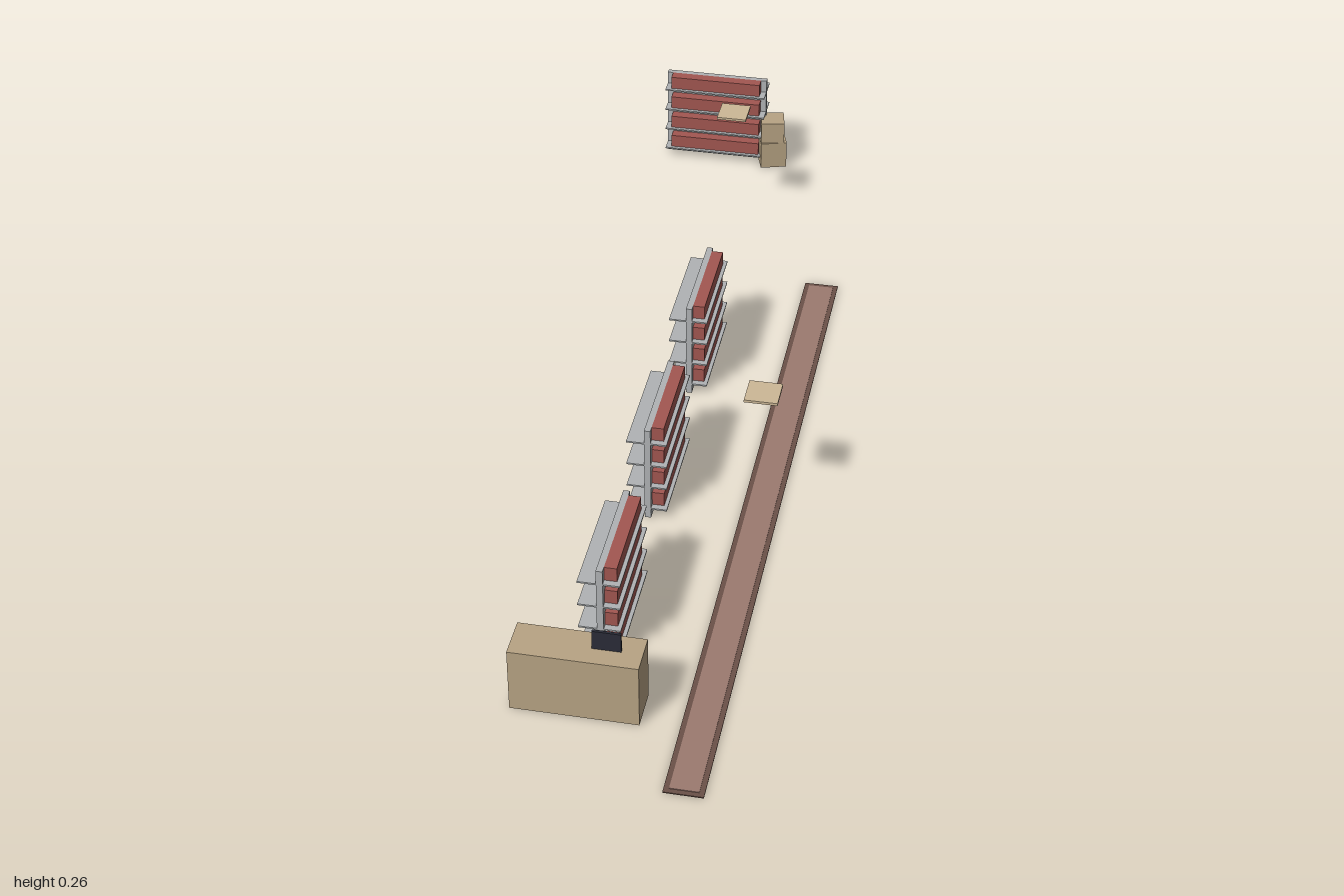
import * as THREE from 'three';

const mat = (name, color) => {
  const m = new THREE.MeshStandardMaterial({ color });
  m.name = name;
  return m;
};

export function createModel() {
  const model = new THREE.Group();
  model.name = 'libraryFurniture';

  const metal = mat('grey metal', 0xb0b3b5);
  const red = mat('book red', 0xa25751);
  const wood = mat('desk tan', 0xb8a484);
  const lampTan = mat('lamp cream', 0xcdb896);
  const rugDark = mat('rug border brown', 0x6b5148);
  const rugPink = mat('rug brown', 0x9c7a70);
  const dark = mat('screen black', 0x2a2c38);

  // Box given by its low and high corners
  const box = (parent, name, material, [x0, y0, z0], [x1, y1, z1]) => {
    const mesh = new THREE.Mesh(new THREE.BoxGeometry(x1 - x0, y1 - y0, z1 - z0), material);
    mesh.position.set((x0 + x1) / 2, (y0 + y1) / 2, (z0 + z1) / 2);
    mesh.name = name;
    parent.add(mesh);
    return mesh;
  };

  // Shelf unit: upright panel, boards through both sides, books facing local +x
  const shelfUnit = (name, x, z, turn = 0) => {
    const unit = new THREE.Group();
    unit.name = name;
    box(unit, 'panel', metal, [-0.0115, 0, -0.109], [0, 0.194, 0.109]);
    for (let i = 0; i < 4; i++) {
      const y = 0.0185 + i * 0.0485;
      box(unit, 'board', metal, [-0.044, y, -0.109], [0.029, y + 0.003, 0.109]);
      box(unit, 'books', red, [0, y + 0.003, -0.097], [0.022, y + 0.0301, 0.097]);
    }
    unit.position.set(x, 0, z);
    unit.rotation.y = turn;
    model.add(unit);
  };
  [0.606, 0.217, -0.172].forEach((z) => shelfUnit('aisleShelf', 0, z));
  shelfUnit('backShelf', -0.116, -0.956, -Math.PI / 2);

  // Desk with screen
  box(model, 'desk', wood, [-0.129, 0, 0.783], [0.09, 0.122, 0.857]);
  box(model, 'screen', dark, [0.005, 0.122, 0.817], [0.054, 0.159, 0.822]);

  // Long floor runner
  box(model, 'runnerBorder', rugDark, [0.157, 0, -0.48], [0.224, 0.002, 1]);
  box(model, 'runner', rugPink, [0.166, 0.0015, -0.471], [0.215, 0.0032, 0.991]);

  // Hanging light panels
  [[-0.034, -0.7], [0.19, 0.26]].forEach(([x, z]) =>
    box(model, 'lightPanel', lampTan, [x - 0.03, 0.255, z - 0.03], [x + 0.03, 0.26, z + 0.03]));

  // Two stacked cartons, each turned a little
  box(model, 'lowerCarton', wood, [-0.019, 0, -0.978], [0.037, 0.06, -0.922]).rotation.y = 0.3;
  box(model, 'upperCarton', wood, [-0.016, 0.06, -0.974], [0.034, 0.108, -0.924]).rotation.y = 0.2;

  return model;
}
